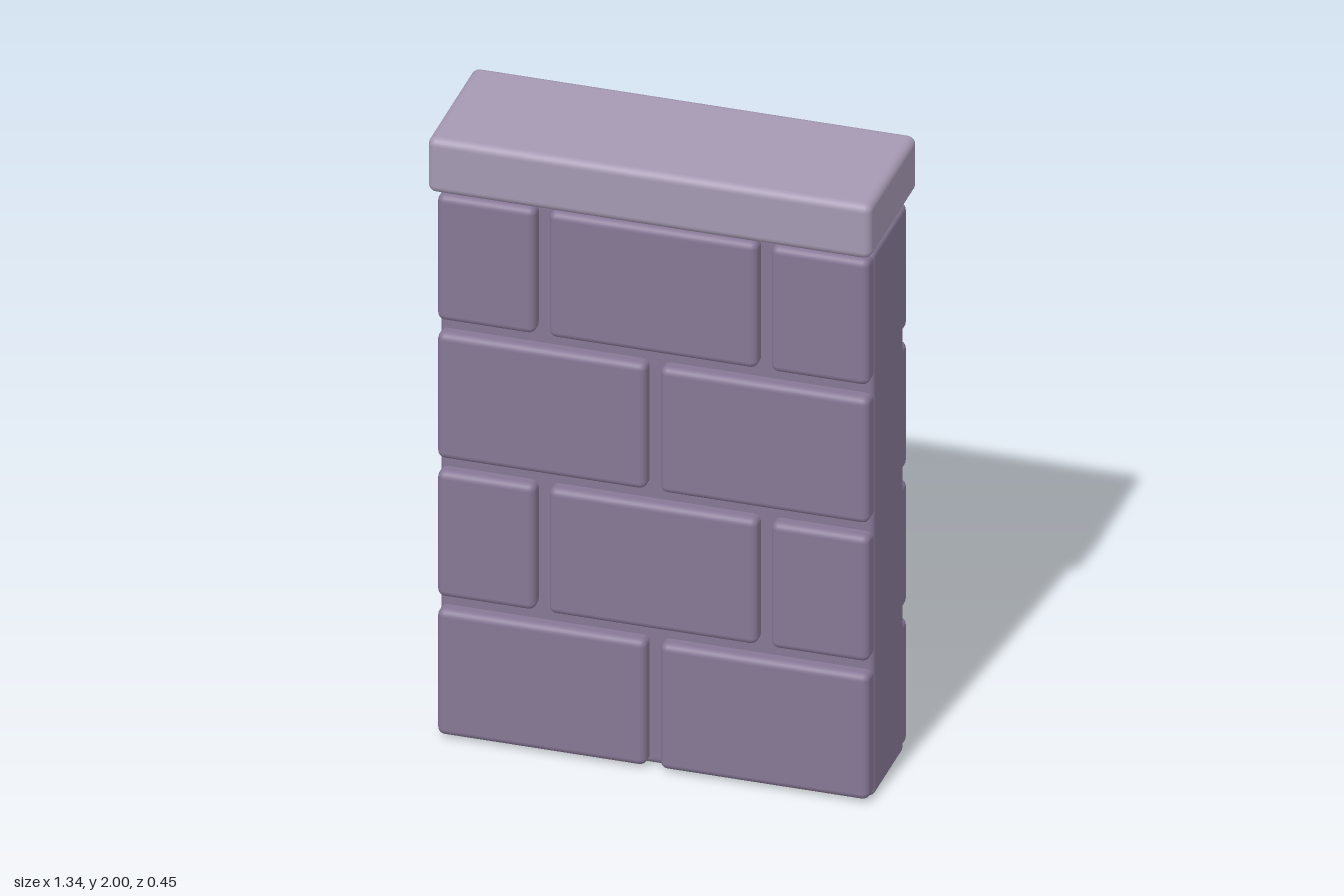
import * as THREE from 'three';
import { RoundedBoxGeometry } from 'three/addons/geometries/RoundedBoxGeometry.js';

const stone = new THREE.MeshStandardMaterial({ color: 0x877896 });
stone.name = 'purple stone';
const capStone = new THREE.MeshStandardMaterial({ color: 0xa599b2 });
capStone.name = 'pale cap stone';

// Rounded block spanning the given ranges
function block(name, [x0, x1], [y0, y1], [z0, z1], radius, material) {
  const geometry = new RoundedBoxGeometry(x1 - x0, y1 - y0, z1 - z0, 3, radius);
  const mesh = new THREE.Mesh(geometry, material);
  mesh.position.set((x0 + x1) / 2, (y0 + y1) / 2, (z0 + z1) / 2);
  mesh.name = name;
  return mesh;
}

export function createModel() {
  const model = new THREE.Group();
  model.name = 'brickWall';

  // Solid core behind the bricks
  model.add(block('core', [-0.655, 0.655], [0, 1.8], [-0.147, 0.147], 0.02, stone));

  // Four courses in running bond, repeated on front and back
  const wideCourse = [[-0.652, -0.021], [0.021, 0.652]];
  const splitCourse = [[-0.652, -0.356], [-0.315, 0.315], [0.356, 0.652]];
  for (const [side, depth] of [['front', [0.09, 0.19]], ['back', [-0.19, -0.09]]]) {
    const face = new THREE.Group();
    face.name = side + 'Bricks';
    for (let row = 0; row < 4; row++) {
      const y = 0.01 + row * 0.457;
      for (const span of row % 2 ? splitCourse : wideCourse) {
        face.add(block(side + 'Brick', span, [y, y + 0.415], depth, 0.022, stone));
      }
    }
    model.add(face);
  }

  // Overhanging cap, separated by a thin gap
  model.add(block('cap', [-0.67, 0.67], [1.82, 2], [-0.226, 0.226], 0.025, capStone));
  return model;
}
